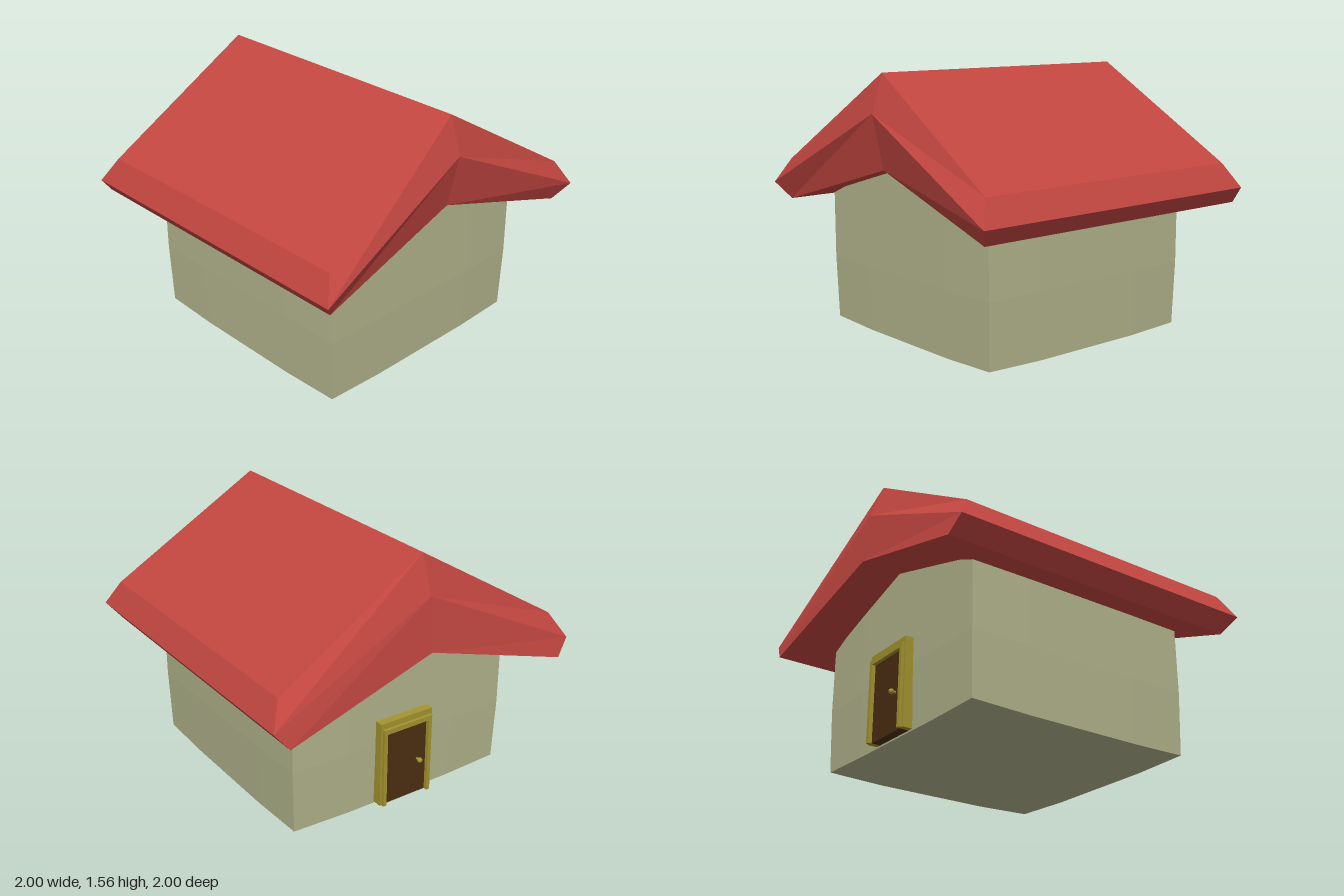
import * as THREE from 'three';

const mat = (name, color) => {
  const m = new THREE.MeshStandardMaterial({ color });
  m.name = name;
  return m;
};

// Walls: a subdivided box with a gabled top and softly bulging faces
function wallGeometry() {
  const geo = new THREE.BoxGeometry(2, 2, 2, 4, 2, 4);
  const p = geo.attributes.position;
  const edge = (t) => Math.max(0, Math.abs(t) * 2 - 1); // 0 near the middle, 1 at the corners
  for (let i = 0; i < p.count; i++) {
    const u = p.getX(i), v = p.getY(i), w = p.getZ(i);
    const au = Math.abs(u);
    const top = au < 0.5 ? 1.03 - 0.16 * au : 0.95 - 0.31 * (au - 0.5);
    const bottom = 0.01 * (edge(u) + edge(w));
    const y = v > 0.5 ? top : v > -0.5 ? 0.4 : bottom;
    const taper = v < -0.5 ? 0.01 : 0;
    const halfX = 0.735 - 0.005 * edge(w) - taper;
    const halfZ = 0.735 - 0.005 * edge(u) - taper;
    p.setXYZ(i, u * halfX, y, w * halfZ + 0.015);
  }
  const flat = geo.toNonIndexed();
  flat.computeVertexNormals();
  return flat;
}

// Roof: one gabled ring at each end, joined along its length and closed by bevelled caps
function roofGeometry() {
  // x, y, front z, back z
  const ridge = [0, 1.56, 0.885, -0.855];
  const mid = [0, 1.34, 0.955, -0.935];
  const under = [0, 1.025, 0.885, -0.965];
  const eave = [[0.92, 1.0, 0.925, -0.89], [1, 0.855, 1.0, -0.975], [0.92, 0.755, 0.93, -1.0]];
  const [B, C, D] = eave.map(([x, y, f, b]) => [-x, y, f, b]);
  const [H, G, F] = eave;
  const ring = [ridge, B, C, D, under, F, G, H];
  const out = [];
  const front = (q) => [q[0], q[1], q[2]];
  const back = (q) => [q[0], q[1], q[3]];
  const quad = (a, b, c, d) => [a, b, c, a, c, d].forEach((q) => out.push(...q));
  // Slopes, fascias and underside
  ring.forEach((P, i) => {
    const Q = ring[(i + 1) % ring.length];
    quad(front(P), back(P), back(Q), front(Q));
  });
  // Bevelled gable ends
  for (const c of [[ridge, B, C, mid], [mid, C, D, under], [under, F, G, mid], [mid, G, H, ridge]]) {
    quad(...c.map(front));
    quad(...c.map(back).reverse());
  }
  const geo = new THREE.BufferGeometry();
  geo.setAttribute('position', new THREE.Float32BufferAttribute(out, 3));
  geo.computeVertexNormals();
  return geo;
}

// Door surround: an upside-down U, extruded from z0 towards the back
function surround(outer, inner, top, innerTop, depth) {
  const pts = [[-outer, 0.02], [-inner, 0.02], [-inner, innerTop], [inner, innerTop],
    [inner, 0.02], [outer, 0.02], [outer, top], [-outer, top]];
  const shape = new THREE.Shape(pts.map(([x, y]) => new THREE.Vector2(x, y)));
  return new THREE.ExtrudeGeometry(shape, { depth, bevelEnabled: false });
}

export function createModel() {
  const model = new THREE.Group();
  model.name = 'house';
  const wallMat = mat('wall sage', 0xb2b48c);
  const roofMat = mat('roof red', 0xc24640);
  const frameMat = mat('frame gold', 0xa49430);
  const doorMat = mat('door brown', 0x4c2e12);

  const add = (parent, name, geo, material, x = 0, y = 0, z = 0) => {
    const m = new THREE.Mesh(geo, material);
    m.name = name;
    m.position.set(x, y, z);
    parent.add(m);
    return m;
  };

  add(model, 'walls', wallGeometry(), wallMat);
  add(model, 'roof', roofGeometry(), roofMat);

  // Door on the back wall
  const door = new THREE.Group();
  door.name = 'door';
  model.add(door);
  add(door, 'doorFrame', surround(0.18, 0.145, 0.55, 0.485, 0.09), frameMat, 0, 0, -0.77);
  add(door, 'doorTrim', surround(0.168, 0.145, 0.515, 0.485, 0.02), frameMat, 0, 0, -0.788);
  add(door, 'doorPanel', new THREE.BoxGeometry(0.29, 0.465, 0.07), doorMat, 0, 0.2525, -0.73);

  // Knob on a short stem
  const stem = add(door, 'knobStem', new THREE.CylinderGeometry(0.008, 0.008, 0.04, 8), frameMat, -0.085, 0.245, -0.78);
  stem.rotation.x = Math.PI / 2;
  add(door, 'knob', new THREE.SphereGeometry(0.016, 10, 8), frameMat, -0.085, 0.245, -0.792);

  return model;
}
